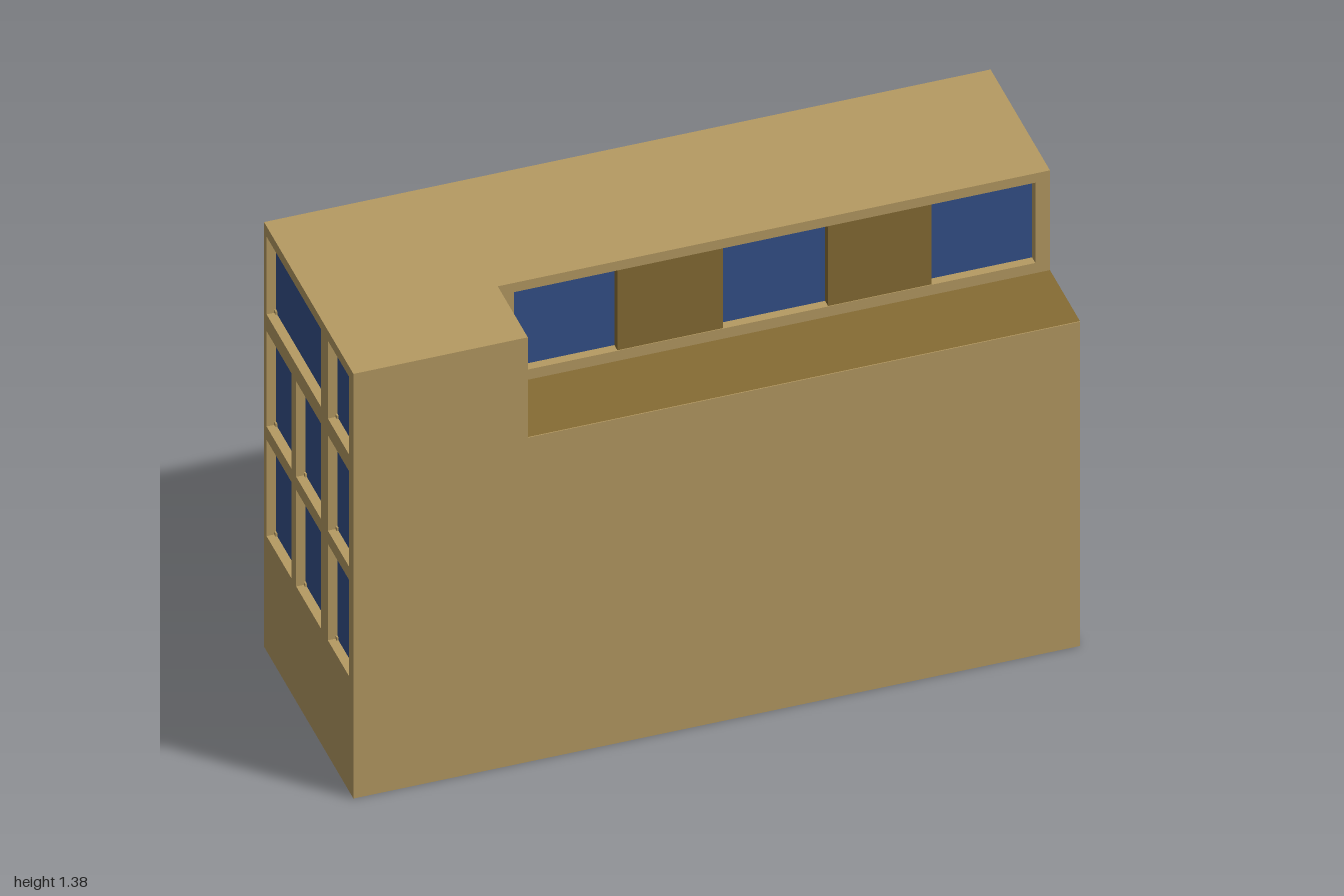
import * as THREE from 'three';

const WALL = new THREE.MeshStandardMaterial({ name: 'tan wall', color: 0xb59a62 });
const DARK = new THREE.MeshStandardMaterial({ name: 'dark brown', color: 0x866c34 });
const GLASS = new THREE.MeshStandardMaterial({ name: 'blue glass', color: 0x34518a });

const H = 1.375, Z = 0.35, D = 0.028;              // height, half depth, window recess
const STEP_X = -0.52, STEP_Y = 1.05, STEP_Z = 0.115; // inner corner of the balcony

export function createModel() {
  const model = new THREE.Group();
  model.name = 'building';

  function add(parent, name, geometry, material, x = 0, y = 0, z = 0) {
    const mesh = new THREE.Mesh(geometry, material);
    mesh.name = name;
    mesh.position.set(x, y, z);
    parent.add(mesh);
    return mesh;
  }

  // box given by its lower and upper limits
  function block(parent, name, material, [x0, x1], [y0, y1], [z0, z1]) {
    return add(parent, name, new THREE.BoxGeometry(x1 - x0, y1 - y0, z1 - z0), material,
      (x0 + x1) / 2, (y0 + y1) / 2, (z0 + z1) / 2);
  }

  // wall panel with rectangular holes [u0, u1, v0, v1]
  function panel(outline, holes) {
    const shape = new THREE.Shape(outline.map(p => new THREE.Vector2(...p)));
    for (const [u0, u1, v0, v1] of holes) {
      shape.holes.push(new THREE.Path([[u0, v0], [u0, v1], [u1, v1], [u1, v0]]
        .map(p => new THREE.Vector2(...p))));
    }
    return new THREE.ExtrudeGeometry(shape, { depth: D, bevelEnabled: false });
  }

  // solid core
  const end = 1 - D;
  block(model, 'lowerBody', WALL, [-end, end], [0, STEP_Y], [-Z, Z]);
  block(model, 'upperBody', WALL, [-end, end], [STEP_Y, H], [-Z, STEP_Z - D]);
  block(model, 'upperCorner', WALL, [-end, STEP_X], [STEP_Y, H], [STEP_Z - D, Z]);

  // end walls with recessed windows
  const columns = [[-0.33, -0.135], [-0.098, 0.098], [0.15, 0.315]];
  const rows = [[0.372, 0.684], [0.727, 1.036]];
  const wide = [-0.33, 0.098, 1.09, 1.342];
  const grid = rows.flatMap(r => columns.map(c => [...c, ...r]));
  const fullOutline = [[-Z, 0], [Z, 0], [Z, H], [-Z, H]];
  const steppedOutline = [[-Z, 0], [Z, 0], [Z, STEP_Y], [STEP_Z, STEP_Y], [STEP_Z, H], [-Z, H]];

  for (const side of [1, -1]) {
    const wall = new THREE.Group();
    wall.name = side > 0 ? 'leftEndWall' : 'rightEndWall';
    model.add(wall);
    const windows = side > 0 ? [...grid, wide] : [...grid, wide, [0.15, 0.315, 1.09, 1.342]];
    const geometry = panel(side > 0 ? steppedOutline : fullOutline, windows);
    geometry.rotateY(-Math.PI / 2);
    add(wall, 'windowWall', geometry, WALL, side > 0 ? 1 : -end);
    for (const [z0, z1, y0, y1] of windows) {
      const pane = new THREE.PlaneGeometry(z1 - z0, y1 - y0).rotateY(side * Math.PI / 2);
      add(wall, 'windowPane', pane, GLASS, side * (end + 0.002), (y0 + y1) / 2, (z0 + z1) / 2);
      // small corner clips
      for (const z of [z0 + 0.005, z1 - 0.005]) for (const y of [y0 + 0.005, y1 - 0.005]) {
        add(wall, 'cornerClip', new THREE.BoxGeometry(0.008, 0.01, 0.01), WALL, side * (end + 0.003), y, z);
      }
    }
  }

  // balcony front wall: one long opening with panes and panels in turn
  const edges = [-0.475, -0.19, 0.1, 0.39, 0.675, 0.96];
  const y0 = 1.085, y1 = 1.345;
  add(model, 'balconyWall',
    panel([[STEP_X, STEP_Y], [end, STEP_Y], [end, H], [STEP_X, H]], [[edges[0], edges[5], y0, y1]]),
    WALL, 0, 0, STEP_Z - D);
  for (let i = 0; i < 5; i++) {
    const x = [edges[i], edges[i + 1]];
    if (i % 2) block(model, 'balconyPanel', DARK, x, [y0, y1], [STEP_Z - D, STEP_Z - 0.002]);
    else add(model, 'balconyPane', new THREE.PlaneGeometry(x[1] - x[0], y1 - y0), GLASS,
      (x[0] + x[1]) / 2, (y0 + y1) / 2, STEP_Z - D + 0.002);
  }

  // balcony floor and door
  add(model, 'balconyFloor', new THREE.PlaneGeometry(1 - STEP_X, Z - STEP_Z).rotateX(-Math.PI / 2),
    DARK, (1 + STEP_X) / 2, STEP_Y + 0.002, (Z + STEP_Z) / 2);
  block(model, 'door', DARK, [STEP_X, STEP_X + 0.004], [STEP_Y, y1], [0.13, 0.342]);
  block(model, 'doorHandle', DARK, [STEP_X, STEP_X + 0.02], [1.135, 1.232], [0.168, 0.186]);

  return model;
}
